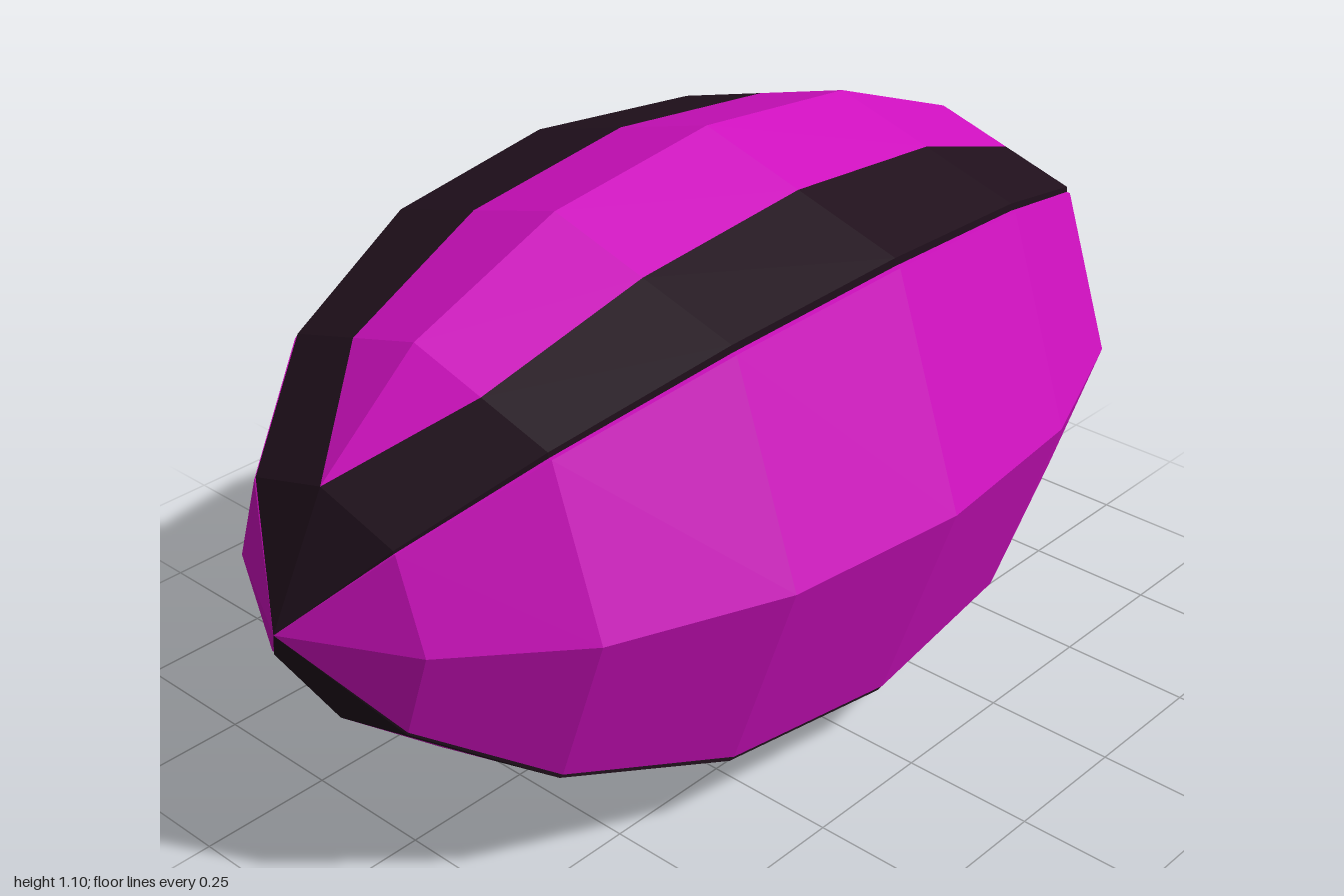
import * as THREE from 'three';

// Lengthwise stations: x, section scale, half width of the inlay panel
const half = [[0, 1, 0.207], [0.367, 0.927, 0.196], [0.68, 0.708, 0.15], [0.885, 0.396, 0], [1, 0, 0]];
const stations = [
  ...half.slice(1).reverse().map(([x, s, w]) => [-x, s, w]),
  ...half,
];
const CENTRE_Y = 0.552;

// Section corners as (z, y) at the middle station
const RIDGE_Y = 0.55, BAND_Z = 0.416, BAND_Y = 0.43;
const SIDE_Z = 0.427, SIDE_Y = 0.415, BELLY_Z = 0.568;

const fixed = (z, y) => ([, s]) => [z * s, y * s];
// Inlay edge slides along the sloping roof face, so it stays coplanar with the band
const inlayEdge = (side) => ([, s, w]) => [side * w, RIDGE_Y * s - w * (RIDGE_Y - BAND_Y) / BAND_Z];

// Skins neighbouring section points along the length
function loft(name, material, points) {
  const pos = [];
  const at = (st, point) => {
    const [z, y] = point(st);
    return new THREE.Vector3(st[0], y, z);
  };
  const tri = (a, b, c) => {
    const area = b.clone().sub(a).cross(c.clone().sub(a)).length();
    if (area > 1e-7) pos.push(...a.toArray(), ...b.toArray(), ...c.toArray());
  };
  for (let i = 0; i < stations.length - 1; i++) {
    for (let j = 0; j < points.length - 1; j++) {
      const a0 = at(stations[i], points[j]), b0 = at(stations[i], points[j + 1]);
      const a1 = at(stations[i + 1], points[j]), b1 = at(stations[i + 1], points[j + 1]);
      tri(a0, b0, b1);
      tri(a0, b1, a1);
    }
  }
  const geometry = new THREE.BufferGeometry();
  geometry.setAttribute('position', new THREE.Float32BufferAttribute(pos, 3));
  geometry.computeVertexNormals();
  const mesh = new THREE.Mesh(geometry, material);
  mesh.name = name;
  return mesh;
}

export function createModel() {
  const shell = new THREE.MeshStandardMaterial({ color: 0xd010c0, flatShading: true, side: THREE.DoubleSide });
  const trim = new THREE.MeshStandardMaterial({ color: 0x20101c, flatShading: true, side: THREE.DoubleSide });
  const model = new THREE.Group();
  model.name = 'facetedSpindle';

  // Each half holds one roof and one side; the second is turned about the long axis
  ['upperFront', 'lowerBack'].forEach((name, i) => {
    const part = new THREE.Group();
    part.name = name + 'Half';
    part.add(
      // Coloured inlay on the ridge
      loft('ridgeInlay', shell, [inlayEdge(-1), fixed(0, RIDGE_Y), inlayEdge(1)]),
      // Dark bands framing the inlay, with a small drop at the outer edge
      loft('backBand', trim, [fixed(-BAND_Z, SIDE_Y), fixed(-BAND_Z, BAND_Y), inlayEdge(-1)]),
      loft('frontBand', trim, [inlayEdge(1), fixed(BAND_Z, BAND_Y), fixed(BAND_Z, SIDE_Y)]),
      // Wide side panel with its stepped lips
      loft('sidePanel', shell, [
        fixed(BAND_Z, SIDE_Y), fixed(SIDE_Z, SIDE_Y), fixed(BELLY_Z, 0),
        fixed(SIDE_Z, -SIDE_Y), fixed(BAND_Z, -SIDE_Y),
      ]),
    );
    part.rotation.x = i * Math.PI;
    part.position.y = CENTRE_Y;
    model.add(part);
  });

  // The dark tips close where the inlay panel has run out
  return model;
}
